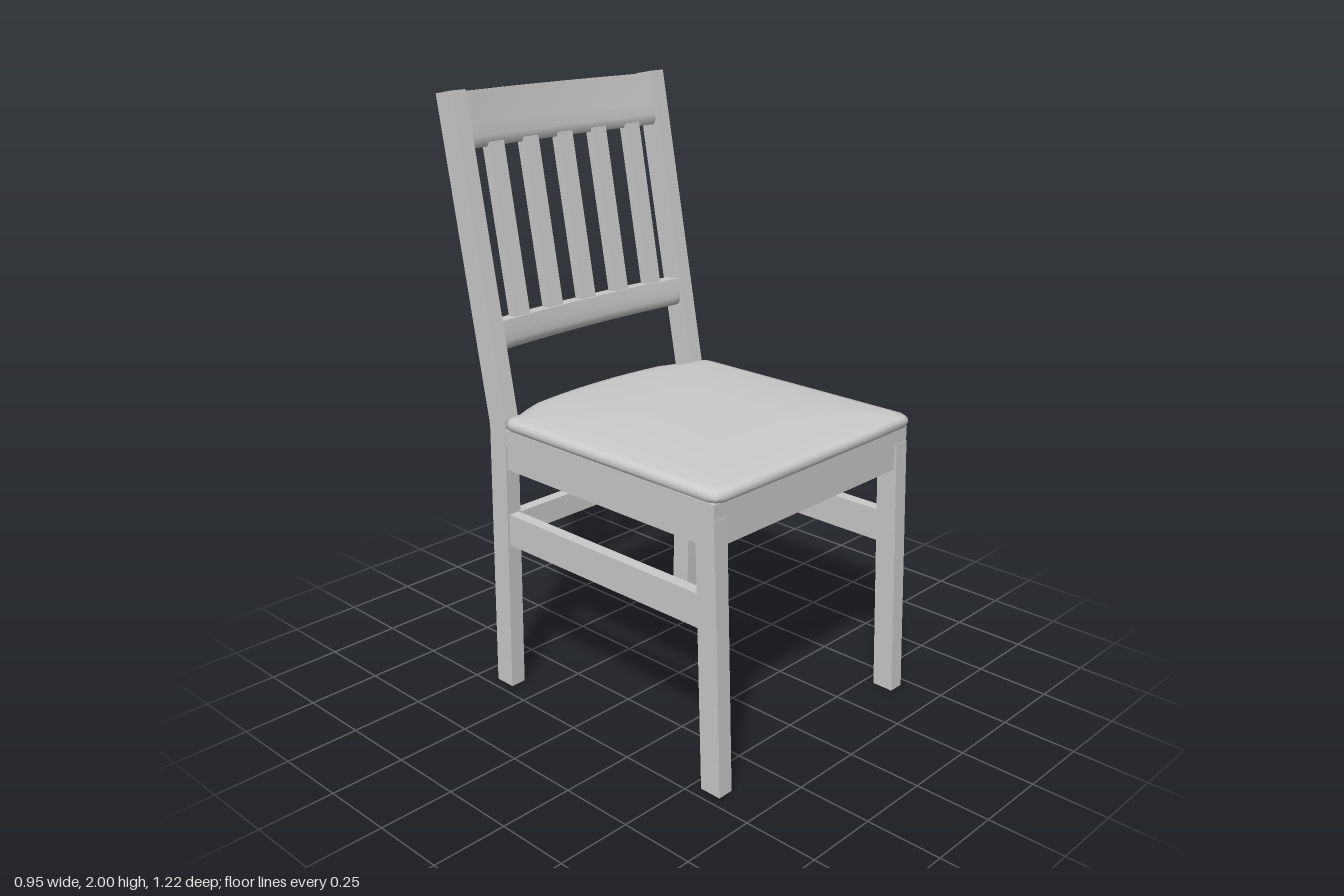
import * as THREE from 'three';
import { toCreasedNormals } from 'three/addons/utils/BufferGeometryUtils.js';

const material = new THREE.MeshStandardMaterial({ color: 0xcccccc, side: THREE.DoubleSide });
const shapeOf = (pts) => new THREE.Shape(pts.map(([a, b]) => new THREE.Vector2(a, b)));

// Extrudes a [z, y] side profile along x, centred on x = cx
function sideExtrude(pts, width, cx = 0, steps = 1) {
  const g = new THREE.ExtrudeGeometry(shapeOf(pts), { depth: width, bevelEnabled: false, steps });
  g.rotateY(-Math.PI / 2);
  g.translate(cx + width / 2, 0, 0);
  return g;
}

// Box given by its minimum and maximum corners
function boxBetween([x0, y0, z0], [x1, y1, z1]) {
  const g = new THREE.BoxGeometry(x1 - x0, y1 - y0, z1 - z0);
  g.translate((x0 + x1) / 2, (y0 + y1) / 2, (z0 + z1) / 2);
  return g;
}

// Backward bow of the back rest at a given x
const bow = (x) => 0.02 * (1 - (x / 0.41) ** 2);

function bowedRail(profile) {
  const g = sideExtrude(profile, 0.82, 0, 16);
  const p = g.attributes.position;
  for (let i = 0; i < p.count; i++) p.setZ(i, p.getZ(i) - bow(p.getX(i)));
  return toCreasedNormals(g, 0.6);
}

// Padded seat: rounded edge and a low crown, lofted from scaled outlines
function cushionGeometry() {
  const half = [
    [0, 0.597], [0.2, 0.597], [0.44, 0.595], [0.462, 0.585], [0.474, 0.56], [0.475, 0.3], [0.475, 0],
    [0.475, -0.3], [0.468, -0.322], [0.45, -0.333], [0.41, -0.338], [0.36, -0.362], [0.29, -0.388],
    [0.2, -0.4], [0.1, -0.408], [0, -0.41],
  ];
  const outline = [...half, ...half.slice(1, -1).reverse().map(([x, z]) => [-x, z])];
  const rings = [[0, 0.94], [0.965, 0.94], [0.992, 0.945], [1, 0.957], [0.995, 0.97], [0.98, 0.978]];
  for (const s of [0.93, 0.85, 0.75, 0.6, 0.45, 0.3, 0.15, 0]) rings.push([s, 0.978 + 0.022 * (1 - s ** 2.5)]);
  const n = outline.length, cz = 0.1, pos = [], idx = [];
  for (const [s, y] of rings) for (const [x, z] of outline) pos.push(x * s, y, cz + (z - cz) * s);
  for (let r = 0; r < rings.length - 1; r++) {
    for (let i = 0; i < n; i++) {
      const a = r * n + i, b = r * n + (i + 1) % n, c = a + n, d = b + n;
      if (r > 0) idx.push(a, b, c);
      if (r < rings.length - 2) idx.push(b, d, c);
      else if (r === 0) idx.push(b, d, c);
    }
  }
  const g = new THREE.BufferGeometry();
  g.setAttribute('position', new THREE.Float32BufferAttribute(pos, 3));
  g.setIndex(idx);
  return toCreasedNormals(g, 0.9);
}

export function createModel() {
  const chair = new THREE.Group();
  chair.name = 'chair';
  const add = (name, geometry) => {
    const mesh = new THREE.Mesh(geometry, material);
    mesh.name = name;
    chair.add(mesh);
  };

  // Legs, side aprons and side stretchers, mirrored
  for (const [side, s] of [['left', 1], ['right', -1]]) {
    add(`${side}FrontLeg`, sideExtrude([[0.535, 0], [0.61, 0], [0.58, 0.89], [0.505, 0.89]], 0.055, s * 0.4375));
    add(`${side}BackPost`, sideExtrude(
      [[-0.425, 0], [-0.35, 0], [-0.331, 0.97], [-0.525, 2], [-0.605, 1.985], [-0.408, 0.94]], 0.055, s * 0.4375));
    const apron = boxBetween([-0.022, 0.8, -0.34], [0.022, 0.89, 0.52]);
    add(`${side}Apron`, apron.translate(s * 0.437, 0, 0));
    const stretcher = boxBetween([-0.02, 0.53, -0.35], [0.02, 0.64, 0.53]);
    add(`${side}Stretcher`, stretcher.translate(s * 0.437, 0, 0));
  }

  // Cross pieces under the seat
  add('frontApron', boxBetween([-0.415, 0.8, 0.53], [0.415, 0.89, 0.573]));
  add('backApron', boxBetween([-0.415, 0.8, -0.395], [0.415, 0.89, -0.35]));
  add('backStretcher', boxBetween([-0.415, 0.545, -0.4], [0.415, 0.625, -0.36]));

  // Seat base, notched around the back posts
  const base = new THREE.ExtrudeGeometry(shapeOf([
    [-0.465, 0.578], [-0.465, -0.33], [-0.41, -0.33], [-0.41, -0.398],
    [0.41, -0.398], [0.41, -0.33], [0.465, -0.33], [0.465, 0.578],
  ]), { depth: 0.055, bevelEnabled: false });
  base.rotateX(Math.PI / 2);
  base.translate(0, 0.94, 0);
  add('seatBase', base);
  add('seatCushion', cushionGeometry());

  // Bowed rails of the back rest
  add('topRail', bowedRail([
    [-0.59, 1.985], [-0.535, 1.992], [-0.526, 1.94], [-0.517, 1.89], [-0.509, 1.85],
    [-0.509, 1.83], [-0.516, 1.815], [-0.55, 1.812], [-0.56, 1.82], [-0.567, 1.86], [-0.578, 1.92],
  ]));
  add('lowerRail', bowedRail([
    [-0.455, 1.272], [-0.397, 1.278], [-0.391, 1.24], [-0.388, 1.21], [-0.39, 1.195],
    [-0.398, 1.182], [-0.428, 1.18], [-0.436, 1.19], [-0.443, 1.22],
  ]));

  // Five upright slats following the bow
  for (let i = -2; i <= 2; i++) {
    const x = i * 0.152;
    const slat = sideExtrude([[-0.438, 1.26], [-0.403, 1.26], [-0.506, 1.83], [-0.541, 1.83]], 0.062, x);
    add('slat', slat.translate(0, 0, -bow(x)));
  }
  return chair;
}
